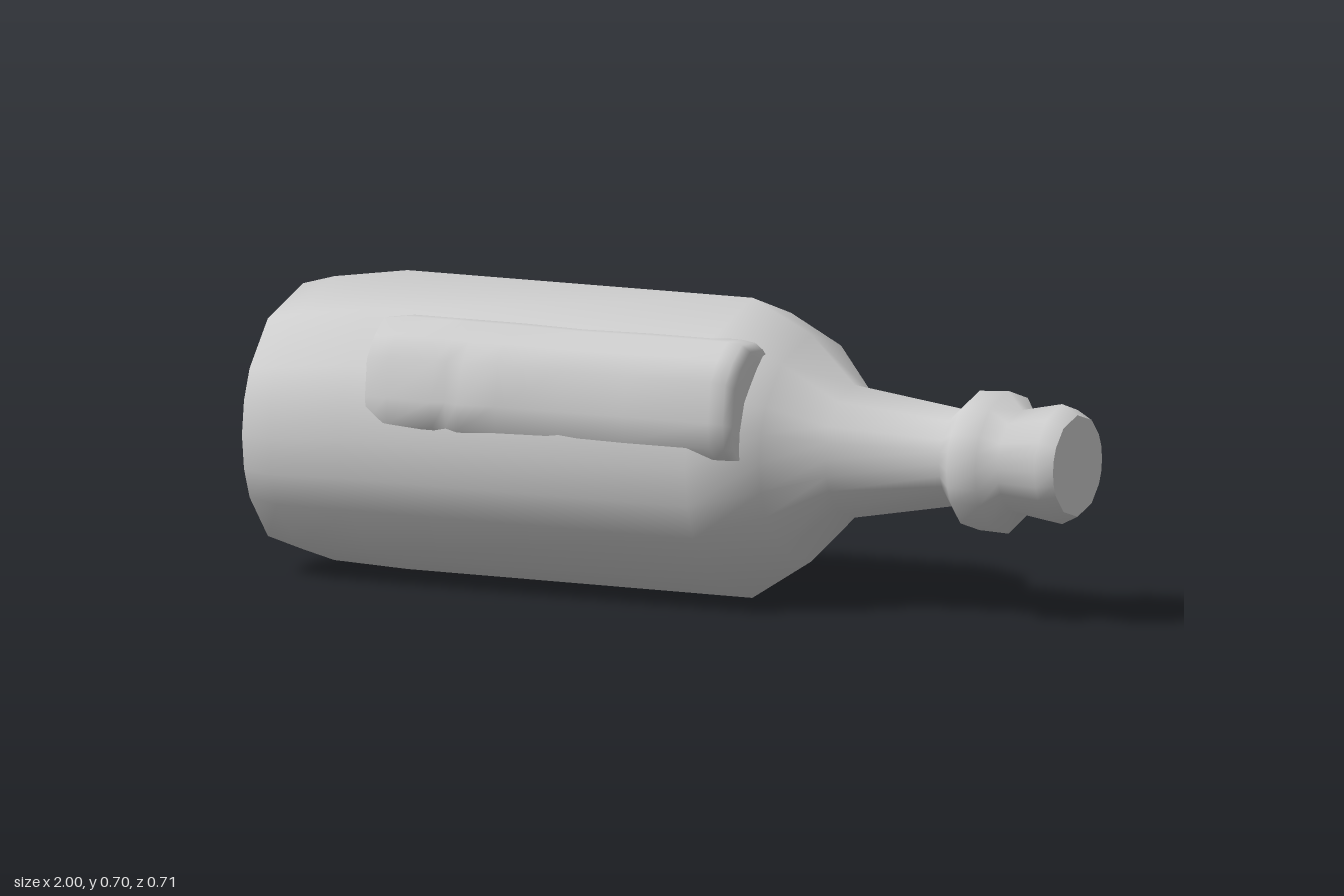
import * as THREE from 'three';

const rad = THREE.MathUtils.degToRad;
const gray = new THREE.MeshStandardMaterial({ color: 0xcccccc });
gray.name = 'light gray';

// Skin rings of equal length; rings run along +x, points run from the top towards +z
function loft(rings, closed) {
  const n = rings[0].length, index = [];
  for (let i = 0; i < rings.length - 1; i++) {
    for (let j = 0; j < (closed ? n : n - 1); j++) {
      const a = i * n + j, b = i * n + (j + 1) % n;
      index.push(a, b, a + n, b, b + n, a + n);
    }
  }
  const geometry = new THREE.BufferGeometry();
  geometry.setAttribute('position', new THREE.Float32BufferAttribute(rings.flat(2), 3));
  geometry.setIndex(index);
  geometry.computeVertexNormals();
  return geometry;
}

// Uneven facets around the bottle, in degrees from the top
const half = [0, 35, 61, 75, 90, 105, 119, 145];
const angles = [...half, ...half.map((a) => (a === 0 ? 180 : 180 + a))];

// x, bottom, top, back z, front z
const sections = [
  [-1, 0.03, 0.65, -0.32, 0.30],
  [-0.92, 0.01, 0.672, -0.347, 0.322],
  [-0.73, 0.003, 0.70, -0.355, 0.333],
  [0.16, 0, 0.70, -0.355, 0.333],
  [0.31, 0.095, 0.625, -0.28, 0.25],
  [0.42, 0.205, 0.515, -0.165, 0.13],
  [0.70, 0.255, 0.48, -0.13, 0.105],
  [0.745, 0.20, 0.525, -0.183, 0.155],
  [0.82, 0.197, 0.53, -0.183, 0.155],
  [0.855, 0.245, 0.488, -0.138, 0.112],
  [0.96, 0.23, 0.51, -0.15, 0.13],
  [1, 0.25, 0.487, -0.135, 0.115],
];

function ring([x, y0, y1, z0, z1]) {
  return angles.map((d) => [
    x,
    (y0 + y1) / 2 + ((y1 - y0) / 2) * Math.cos(rad(d)),
    (z0 + z1) / 2 + ((z1 - z0) / 2) * Math.sin(rad(d)),
  ]);
}

// Flat disc that closes one end
function endDisc(section, towardsFrontX) {
  const edge = ring(section);
  const centre = [section[0], (section[1] + section[2]) / 2, (section[3] + section[4]) / 2];
  const hub = edge.map(() => centre);
  return towardsFrontX ? loft([edge, hub], true) : loft([hub, edge], true);
}

// Raised label outline (z, y), from its upper edge down to its lower edge
const labelProfile = [
  [0.14, 0.61], [0.165, 0.632], [0.235, 0.636], [0.285, 0.60],
  [0.322, 0.553], [0.334, 0.46], [0.329, 0.40], [0.30, 0.37],
];
// x, inset towards the bottle axis, extra bulge at the lower half
const labelSections = [
  [-0.69, 0.86, 0], [-0.67, 0.97, 0], [-0.61, 1, 0], [-0.49, 1, 0.018], [-0.46, 1, 0],
  [-0.42, 1, 0.02], [-0.33, 1, 0.003], [-0.17, 0.99, 0], [0, 1, 0], [0.22, 1, 0],
  [0.255, 0.98, 0], [0.27, 0.92, 0], [0.265, 0.72, 0],
];

export function createModel() {
  const group = new THREE.Group();
  group.name = 'bottle';
  const add = (name, geometry) => {
    const mesh = new THREE.Mesh(geometry, gray);
    mesh.name = name;
    group.add(mesh);
  };

  // Body, shoulder, neck and lip in one skin
  add('glassBody', loft(sections.map(ring), true));
  add('base', endDisc(sections[0], false));
  add('mouth', endDisc(sections[sections.length - 1], true));

  // Crumpled label, with ends that sink into the body
  const labelRings = labelSections.map(([x, inset, bulge]) =>
    labelProfile.map(([z, y], j) => [
      x,
      0.35 + (y - 0.35) * inset,
      z * inset + (j === 5 ? bulge : j === 6 ? bulge / 2 : 0),
    ]));
  add('label', loft(labelRings, false));

  return group;
}
